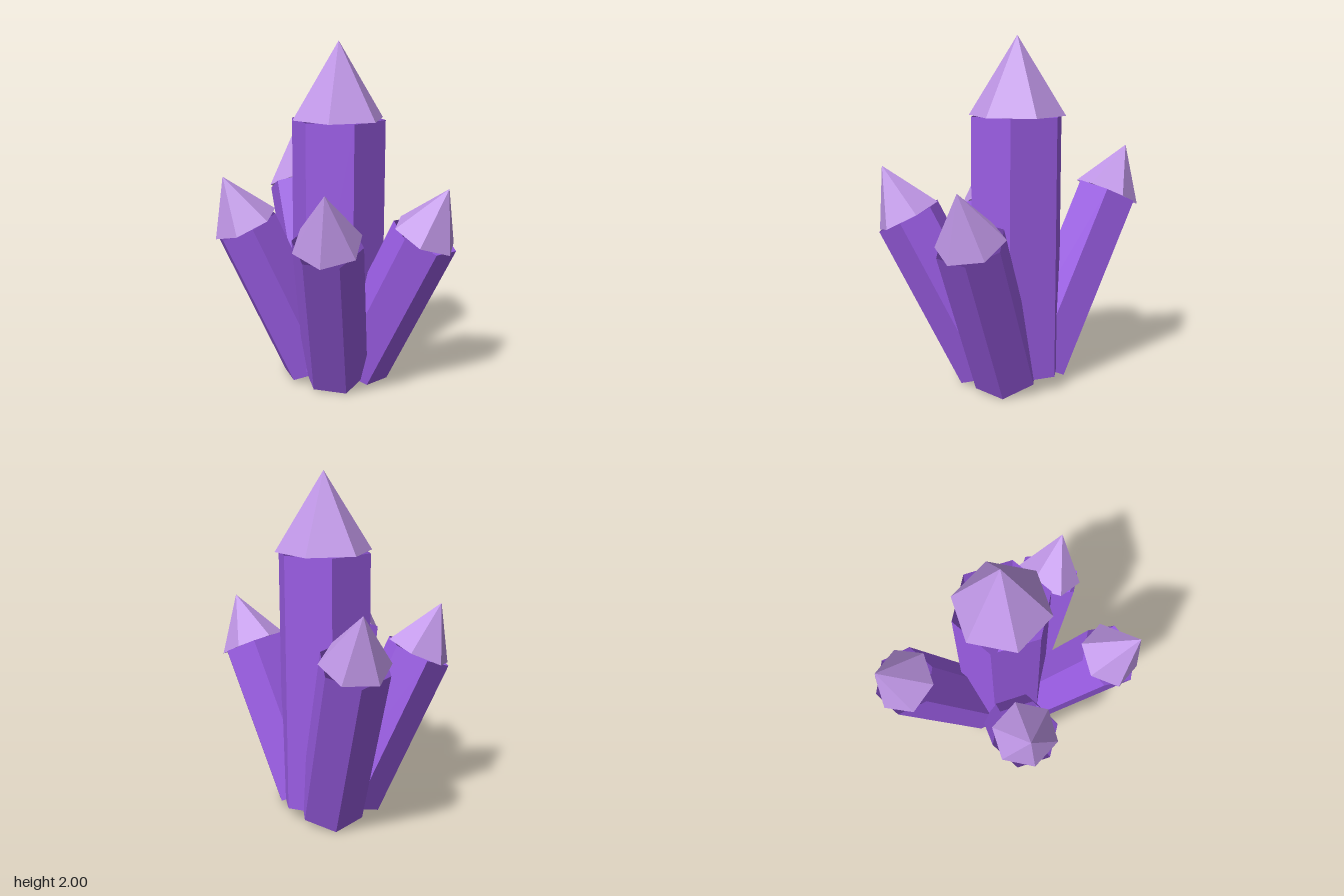
import * as THREE from 'three';

const UP = new THREE.Vector3(0, 1, 0);

export function createModel() {
  const crystal = new THREE.MeshStandardMaterial({ color: 0x9b5de5, flatShading: true, side: THREE.DoubleSide });
  crystal.name = 'deep purple crystal';
  const tip = new THREE.MeshStandardMaterial({ color: 0xc59bed, flatShading: true, side: THREE.DoubleSide });
  tip.name = 'pale lilac tip';

  // One crystal: an open six-sided shaft and a pointed cap turned by half a side
  function makeCrystal(name, foot, shoulder, radius, tipLength) {
    const start = new THREE.Vector3(...foot);
    const axis = new THREE.Vector3(...shoulder).sub(start);
    const length = axis.length();
    const group = new THREE.Group();
    group.name = name;
    group.position.copy(start);
    group.quaternion.setFromUnitVectors(UP, axis.normalize());

    const shaft = new THREE.Mesh(new THREE.CylinderGeometry(radius, radius, length, 6, 1, true), crystal);
    shaft.name = name + 'Shaft';
    shaft.rotation.y = Math.PI / 6;
    shaft.position.y = length / 2;

    const point = new THREE.Mesh(new THREE.ConeGeometry(radius, tipLength, 6, 1, true), tip);
    point.name = name + 'Tip';
    point.position.y = length + tipLength / 2;

    group.add(shaft, point);
    return group;
  }

  const model = new THREE.Group();
  model.name = 'crystalCluster';
  model.add(
    // Tall upright crystal in the middle
    makeCrystal('centreCrystal', [0.118, 0.085, 0.008], [0.118, 1.56, 0.008], 0.274, 0.44),
    // Four shorter crystals leaning outwards
    makeCrystal('frontLeftCrystal', [0.15, 0.085, 0.145], [0.235, 0.94, 0.552], 0.193, 0.314),
    makeCrystal('backLeftCrystal', [0.18, 0.085, -0.125], [0.37, 1.08, -0.55], 0.193, 0.306),
    makeCrystal('frontRightCrystal', [-0.01, 0.085, 0.105], [-0.382, 0.985, 0.375], 0.193, 0.323),
    makeCrystal('backRightCrystal', [-0.005, 0.085, -0.077], [-0.33, 0.97, -0.305], 0.193, 0.308)
  );
  return model;
}
